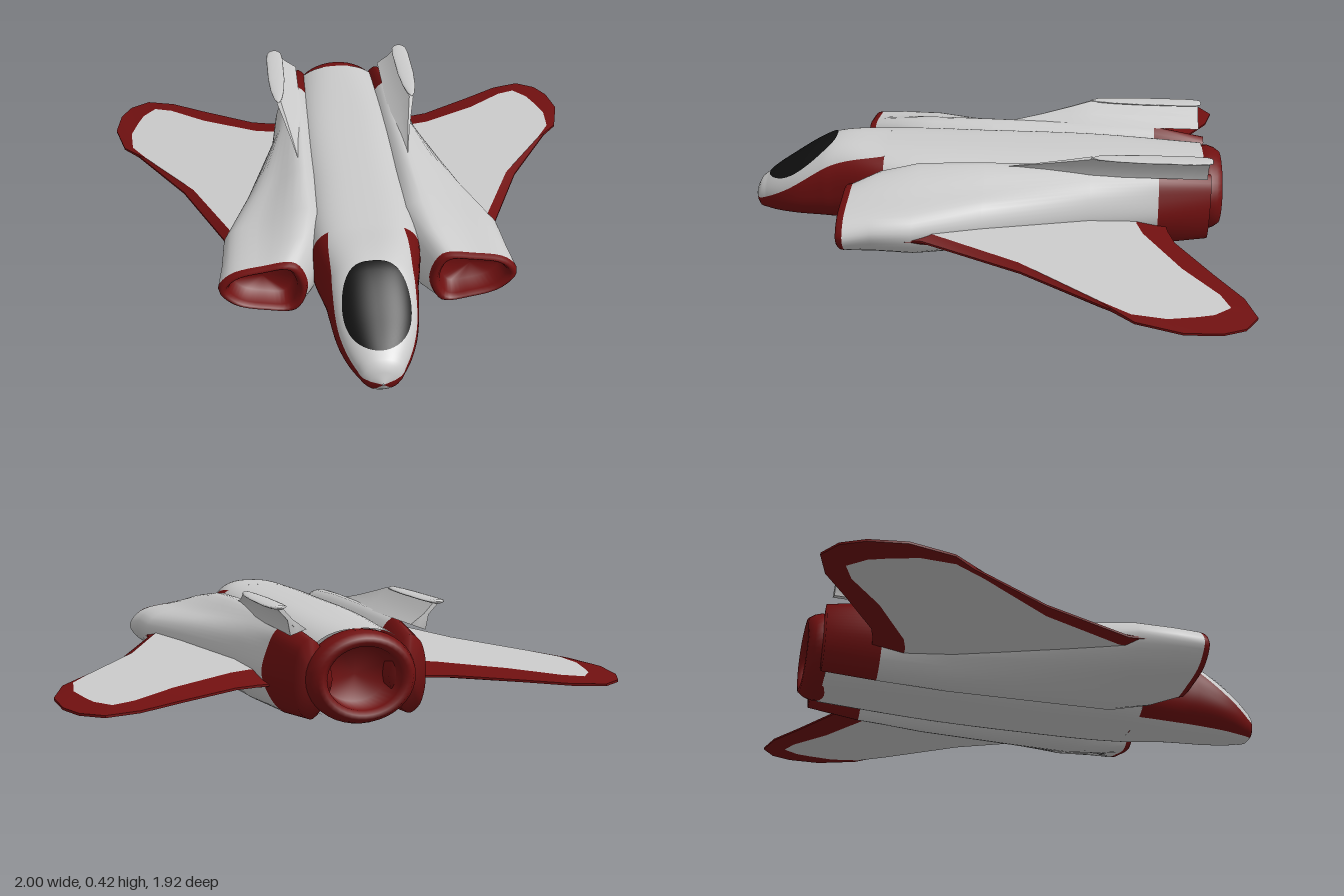
import * as THREE from 'three';
import { ParametricGeometry } from 'three/addons/geometries/ParametricGeometry.js';
import { toCreasedNormals } from 'three/addons/utils/BufferGeometryUtils.js';

const paint = (color) => new THREE.MeshStandardMaterial({ color });
const GREY = paint(0xcccccc), RED = paint(0x701010), BLACK = paint(0x111111);
const V = (x, y, z) => new THREE.Vector3(x, y, z);

function add(parent, name, geometry, material) {
  const mesh = new THREE.Mesh(geometry, material);
  mesh.name = name;
  parent.add(mesh);
  return mesh;
}

// Skin through rings of points; rings run counter-clockwise seen from +z, in order of rising z
function loft(rings, closed = true) {
  const n = rings[0].length, index = [];
  for (let i = 0; i < rings.length - 1; i++) {
    for (let j = 0; j < (closed ? n : n - 1); j++) {
      const k = (j + 1) % n, a = i * n + j, b = i * n + k, c = b + n, d = a + n;
      index.push(a, b, d, b, c, d);
    }
  }
  const geometry = new THREE.BufferGeometry().setFromPoints(rings.flat());
  geometry.setIndex(index);
  geometry.computeVertexNormals();
  return geometry;
}

// Fuselage stations: half width, top, bottom, squareness
const stations = [
  [-0.84, 0.2, 0.335, 0.02, 2.3], [-0.4, 0.21, 0.347, 0.01, 3], [0, 0.21, 0.35, 0.005, 3],
  [0.4, 0.205, 0.35, 0.012, 3], [0.6, 0.17, 0.35, 0.02, 2.6], [0.65, 0.165, 0.336, 0.021, 2.5],
  [0.8, 0.137, 0.245, 0.026, 2.4], [0.9, 0.088, 0.175, 0.033, 2.3],
  [0.94, 0.053, 0.137, 0.043, 2.1], [0.957, 0.003, 0.085, 0.079, 2],
];
const hull = new THREE.CubicInterpolant(
  stations.map((s) => s[0]), stations.flatMap((s) => s.slice(1)), 4, new Float64Array(4));

function hullPoint(theta, z, target) {
  const [w, top, bottom, n] = hull.evaluate(z);
  const bend = (v) => Math.sign(v) * Math.abs(v) ** (2 / n);
  target.set(w * bend(Math.cos(theta)), (top + bottom) / 2 + (top - bottom) / 2 * bend(Math.sin(theta)), z);
}

function hullTop(x, z) {
  const [w, top, bottom, n] = hull.evaluate(z);
  const rise = Math.max(0, 1 - Math.abs(x / w) ** n) ** (1 / n);
  return (top + bottom) / 2 + (top - bottom) / 2 * rise;
}

// Part of the hull between two angles (functions of z)
function hullPatch(from, to, z0, z1, slices, stacks) {
  return new ParametricGeometry((u, v, target) => {
    const z = z0 + (z1 - z0) * v;
    hullPoint(from(z) + (to(z) - from(z)) * u, z, target);
  }, slices, stacks);
}

function buildFuselage(group) {
  const high = (z) => Math.max(0, 0.97 * (0.92 - z) / 0.52), low = () => -1;
  add(group, 'fuselage', hullPatch(() => 0, () => Math.PI * 2, -0.84, 0.4, 64, 32), GREY);
  add(group, 'noseTop', hullPatch(high, (z) => Math.PI - high(z), 0.4, 0.957, 32, 44), GREY);
  add(group, 'noseSideLeft', hullPatch(low, high, 0.4, 0.957, 20, 44), RED);
  add(group, 'noseSideRight', hullPatch((z) => Math.PI - high(z), () => Math.PI + 1, 0.4, 0.957, 20, 44), RED);
  add(group, 'noseBottom', hullPatch(() => Math.PI + 1, () => Math.PI * 2 - 1, 0.4, 0.957, 20, 44), GREY);

  // Egg-shaped canopy lying on the nose slope
  add(group, 'canopy', new ParametricGeometry((u, v, target) => {
    const r = 0.001 + 0.999 * v, a = u * Math.PI * 2, s = Math.sin(a), c = Math.cos(a);
    const x = r * 0.122 * Math.sign(c) * Math.abs(c) ** (s < 0 ? 0.7 : 1);
    const z = 0.745 + r * s * (s > 0 ? 0.15 : 0.135);
    target.set(x, hullTop(x, z) + 0.004, z);
  }, 48, 14), BLACK);

  // Hollow exhaust nozzle
  const profile = [[0.145, 0.78], [0.163, 0.835], [0.163, 0.865], [0.155, 0.89], [0.14, 0.912],
    [0.125, 0.914], [0.11, 0.9], [0.098, 0.8], [0, 0.8]].map(([r, y]) => new THREE.Vector2(r, y));
  const nozzle = new THREE.LatheGeometry(profile, 40).rotateX(-Math.PI / 2);
  nozzle.scale(1.2, 0.98, 1).translate(0, 0.175, 0);
  add(group, 'exhaustNozzle', nozzle, RED);
}

// Nacelle section: z, then x,y from the outer edge over the top and round the bottom
const nacelleSections = [
  [-0.86, 0.235, 0.17, 0.23, 0.24, 0.21, 0.29, 0.17, 0.31, 0.1, 0.17, 0.17, 0.04, 0.21, 0.06, 0.23, 0.11],
  [-0.66, 0.29, 0.17, 0.27, 0.25, 0.24, 0.31, 0.19, 0.34, 0.1, 0.17, 0.19, 0.02, 0.23, 0.04, 0.27, 0.1],
  [-0.4, 0.32, 0.17, 0.3, 0.25, 0.26, 0.31, 0.19, 0.345, 0.1, 0.17, 0.19, 0.012, 0.26, 0.03, 0.3, 0.1],
  [0, 0.44, 0.18, 0.41, 0.25, 0.32, 0.29, 0.2, 0.345, 0.1, 0.17, 0.2, 0.012, 0.32, 0.04, 0.41, 0.1],
  [0.25, 0.53, 0.19, 0.5, 0.245, 0.37, 0.285, 0.2, 0.335, 0.1, 0.17, 0.2, 0.015, 0.37, 0.05, 0.48, 0.1],
  [0.4, 0.54, 0.19, 0.505, 0.245, 0.38, 0.28, 0.23, 0.31, 0.18, 0.17, 0.23, 0.04, 0.37, 0.06, 0.49, 0.11],
  [0.5, 0.555, 0.18, 0.51, 0.24, 0.39, 0.27, 0.27, 0.275, 0.225, 0.17, 0.27, 0.07, 0.38, 0.075, 0.5, 0.11],
];

function buildNacelle(group) {
  const rings = nacelleSections.map(([z, ...p]) => {
    const points = [];
    for (let i = 0; i < p.length; i += 2) points.push(V(p[i], p[i + 1], z));
    return new THREE.CatmullRomCurve3(points, true).getPoints(40).slice(0, 40);
  });
  const shrink = (ring, f, z, cx) =>
    ring.map((p) => V(cx + (p.x - cx) * f, 0.175 + (p.y - 0.175) * f, z));
  const front = rings[6];
  add(group, 'nacelle', loft(rings.slice(1)), GREY);
  add(group, 'nacelleTail', loft([shrink(rings[0], 0, -0.865, 0.17), rings[0], rings[1]]), RED);
  // Rounded intake lip turning into a hollow duct
  const lip = [[1, 0.5], [0.97, 0.52], [0.91, 0.527], [0.84, 0.523], [0.77, 0.505], [0.68, 0.44], [0, 0.435]];
  add(group, 'intake', loft(lip.map(([f, z]) => shrink(front, f, z, 0.39))), RED);
}

// Wing outline paired with its inset panel: x, z, panel x, panel z
const wingOutline = [
  [0.3, 0.38, 0.3, 0.34], [0.52, 0.42, 0.49, 0.35], [0.53, 0.36, 0.495, 0.3], [0.525, 0.21, 0.5, 0.18],
  [0.69, -0.16, 0.65, -0.15], [0.89, -0.475, 0.85, -0.43], [0.955, -0.55, 0.918, -0.54],
  [1, -0.71, 0.93, -0.66], [0.985, -0.84, 0.905, -0.76], [0.945, -0.92, 0.885, -0.82],
  [0.87, -0.967, 0.835, -0.88], [0.755, -0.935, 0.76, -0.85], [0.61, -0.845, 0.61, -0.73],
  [0.395, -0.72, 0.385, -0.6], [0.315, -0.7, 0.315, -0.58], [0.15, -0.68, 0.15, -0.57],
];

function buildWing(group) {
  const skinY = (x, z, side) => 0.16 + 0.045 * z + side * (0.007 + 0.035 * (1 - x));
  const inset = (side) => wingOutline.map(([, , x, z]) => V(x, skinY(x, z, side), z));
  const rim = (side) => wingOutline.map(([x, z]) => V(x, 0.16 + 0.045 * z + side * 0.004, z));
  const edge = loft([inset(-1), rim(-1), rim(1), inset(1)], false);
  add(group, 'wingEdge', toCreasedNormals(edge, 0.7), RED);

  const shape = new THREE.Shape(wingOutline.map(([, , x, z]) => new THREE.Vector2(x, -z)));
  for (const side of [1, -1]) {
    const panel = new THREE.ShapeGeometry(shape), pos = panel.attributes.position;
    for (let i = 0; i < pos.count; i++) {
      const x = pos.getX(i), z = -pos.getY(i);
      pos.setXYZ(i, x, skinY(x, z, side), z);
    }
    if (side < 0) panel.setIndex([...panel.index.array].reverse());
    panel.computeVertexNormals();
    add(group, side > 0 ? 'wingTopPanel' : 'wingBottomPanel', panel, GREY);
  }
}

function buildFin(group) {
  // Thin flared stem growing out of the body
  const stem = [[0.24, 0.32], [0.25, 0.372], [0.287, 0.412], [0.27, 0.416], [0.233, 0.375], [0.185, 0.34]];
  const stations = [[-0.842, 0], [-0.84, 1], [-0.4, 1], [-0.32, 0.75], [-0.2, 0.4], [-0.1, 0.15], [0, 0.02]];
  const rings = stations.map(([z, f]) =>
    stem.map(([x, y]) => V(0.215 + (x - 0.215) * f, 0.335 + (y - 0.335) * f, z)));
  add(group, 'finStem', toCreasedNormals(loft(rings), 0.9), GREY);

  // Flat leaf-shaped cap
  const widths = [[-0.852, 0], [-0.848, 0.02], [-0.83, 0.031], [-0.78, 0.036], [-0.6, 0.035],
    [-0.5, 0.028], [-0.43, 0.016], [-0.4, 0.001]];
  const cap = widths.map(([z, w]) => Array.from({ length: 16 }, (_, j) => {
    const a = j / 16 * Math.PI * 2;
    return V(0.281 + w * Math.cos(a), 0.416 + Math.min(w, 0.007) * Math.sin(a), z);
  }));
  add(group, 'finCap', loft(cap), GREY);
}

export function createModel() {
  const model = new THREE.Group();
  model.name = 'jet';
  buildFuselage(model);
  // Left half, then its mirror image
  const left = new THREE.Group();
  left.name = 'leftSide';
  buildNacelle(left);
  buildWing(left);
  buildFin(left);
  const right = left.clone();
  right.name = 'rightSide';
  right.scale.x = -1;
  model.add(left, right);
  return model;
}
